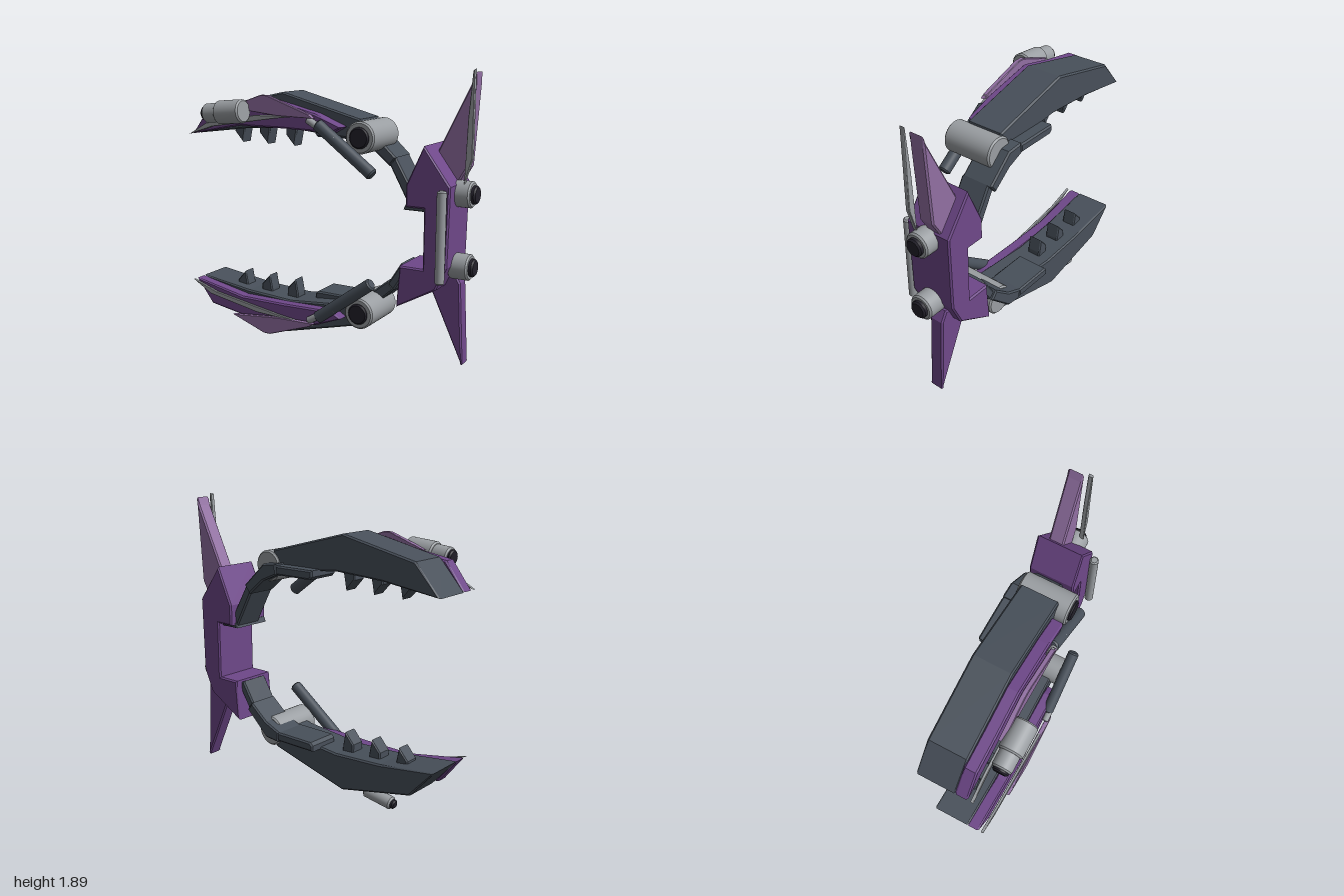
import * as THREE from 'three';

const mat = (name, color) => {
  const m = new THREE.MeshStandardMaterial({ color });
  m.name = name;
  return m;
};

export function createModel() {
  const purple = mat('purple armour', 0x6f488a);
  const lilac = mat('lilac armour', 0x9270a3);
  const slate = mat('slate frame', 0x48505a);
  const steel = mat('steel', 0x9a9ea2);
  const black = mat('black', 0x22202a);
  const model = new THREE.Group();

  // Flat plate: outline in x,y spanning z0..z1, with a small chamfer
  function plate(parent, name, material, pts, z0, z1, bevel = 0.01) {
    const shape = new THREE.Shape(pts.map(p => new THREE.Vector2(p[0], p[1])));
    const geo = new THREE.ExtrudeGeometry(shape, {
      depth: z1 - z0 - 2 * bevel, bevelEnabled: bevel > 0, bevelThickness: bevel,
      bevelSize: bevel, bevelOffset: -bevel, bevelSegments: 1,
    });
    geo.translate(0, 0, z0 + bevel);
    const mesh = new THREE.Mesh(geo, material);
    mesh.name = name;
    parent.add(mesh);
  }

  // Round bar from a to b with chamfered ends
  function rod(parent, name, material, a, b, r, r2 = r) {
    const A = new THREE.Vector3(...a), B = new THREE.Vector3(...b);
    const len = A.distanceTo(B), c = Math.min(0.01, r * 0.3, len * 0.3), h = len / 2;
    const profile = [[0, -h], [r - c, -h], [r - c, -h], [r, -h + c], [r, -h + c],
      [r2, h - c], [r2, h - c], [r2 - c, h], [r2 - c, h], [0, h]];
    const geo = new THREE.LatheGeometry(profile.map(p => new THREE.Vector2(...p)), 32);
    const mesh = new THREE.Mesh(geo, material);
    mesh.name = name;
    mesh.position.copy(A).add(B).multiplyScalar(0.5);
    mesh.quaternion.setFromUnitVectors(new THREE.Vector3(0, 1, 0), B.sub(A).normalize());
    parent.add(mesh);
  }

  // Jaws: the lower one mirrors the upper one
  for (const upper of [true, false]) {
    const jaw = new THREE.Group();
    jaw.name = upper ? 'upperJaw' : 'lowerJaw';
    model.add(jaw);
    const Y = y => (upper ? y : 1.795 - y);
    const P = pts => pts.map(([x, y]) => [x, Y(y)]);

    plate(jaw, 'jawBody', slate, P([[-1, 1.418], [-0.83, 1.61], [-0.3, 1.725], [0.28, 1.575],
      [0.31, 1.42], [0.18, 1.45], [-0.25, 1.49], [-0.6, 1.47]]), -0.21, 0.05);
    plate(jaw, 'jawArmour', purple, P([[-1, 1.42], [-0.87, 1.59], [-0.62, 1.63], [-0.37, 1.685],
      [0, 1.6], [0.19, 1.525], [0.12, 1.485], [-0.25, 1.495], [-0.6, 1.495]]), 0.045, 0.13);
    plate(jaw, 'cheekPlate', lilac, P([[-0.65, 1.62], [-0.39, 1.71], [-0.34, 1.71], [-0.02, 1.6],
      [0.01, 1.575], [-0.27, 1.58]]), 0.145, 0.177, 0.004);
    plate(jaw, 'jawBlade', steel, P([[-1, 1.42], [-0.85, 1.505], [-0.45, 1.575], [-0.2, 1.585],
      [0, 1.595], [-0.28, 1.562], [-0.8, 1.482]]), 0.148, 0.168, 0.003);

    // Teeth
    for (const x of [-0.71, -0.5, -0.285]) {
      plate(jaw, 'tooth', slate, P([[x - 0.045, 1.435], [x - 0.045, 1.5], [x + 0.045, 1.5],
        [x + 0.042, 1.46], [x + 0.022, 1.362]]), -0.13, -0.03, 0.008);
    }

    // Inner ledge and folding arm
    plate(jaw, 'innerLedge', slate, P([[-0.12, 1.45], [-0.1, 1.43], [0.19, 1.43], [0.19, 1.49],
      [-0.12, 1.49]]), -0.29, -0.06);
    plate(jaw, 'foreArm', slate, P([[0.18, 1.43], [0.19, 1.5], [0.3, 1.49], [0.475, 1.33],
      [0.43, 1.275], [0.3, 1.38]]), -0.29, -0.07);
    plate(jaw, 'upperArm', slate, upper
      ? [[0.43, 1.29], [0.475, 1.335], [0.62, 1.09], [0.62, 1.03], [0.575, 1.03]]
      : [[0.43, 0.5], [0.475, 0.46], [0.55, 0.58], [0.55, 0.64], [0.525, 0.65]], -0.27, -0.065);

    // Pivot drum
    rod(jaw, 'pivotDrum', steel, [0.318, Y(1.467), -0.225], [0.318, Y(1.467), 0.125], 0.102);
    rod(jaw, 'pivotCap', black, [0.318, Y(1.467), 0.11], [0.318, Y(1.467), 0.14], 0.068);

    // Piston
    rod(jaw, 'pistonSleeve', slate, [0.02, Y(1.54), 0.137], [0.42, Y(1.245), 0.137], 0.04);
    rod(jaw, 'pistonRod', steel, [-0.045, Y(1.567), 0.15], [0.16, Y(1.45), 0.15], 0.024);
  }

  // Large blaster on the upper jaw
  const blaster = new THREE.Group();
  blaster.name = 'blaster';
  model.add(blaster);
  rod(blaster, 'blasterBody', steel, [-0.48, 1.605, 0.235], [-0.68, 1.588, 0.235], 0.078);
  rod(blaster, 'blasterBarrel', steel, [-0.67, 1.589, 0.235], [-0.785, 1.578, 0.235], 0.064);
  rod(blaster, 'blasterMuzzle', black, [-0.775, 1.579, 0.235], [-0.805, 1.576, 0.235], 0.05);

  // Small blaster under the lower jaw
  rod(model, 'smallBlaster', steel, [-0.43, 0.074, -0.115], [-0.64, 0.043, -0.115], 0.042);
  rod(model, 'smallMuzzle', black, [-0.63, 0.045, -0.115], [-0.662, 0.04, -0.115], 0.03);

  // Spine
  plate(model, 'spine', purple, [[0.7, 1.43], [0.88, 1.19], [0.87, 0.68], [0.8, 0.53],
    [0.53, 0.38], [0.55, 0.655], [0.71, 0.655], [0.71, 1.04], [0.585, 1.04], [0.585, 1.18]],
    -0.315, 0.01);
  plate(model, 'spineBracket', slate, [[0.565, 1.02], [0.71, 1.02], [0.71, 1.055], [0.58, 1.055]],
    -0.28, 0.0, 0.006);
  rod(model, 'spineBar', steel, [0.84, 0.585, 0.04], [0.84, 1.17, 0.04], 0.03);

  // Tail fins
  plate(model, 'upperFin', lilac, [[0.715, 1.36], [0.94, 1.82], [0.962, 1.875], [0.962, 1.8],
    [0.93, 1.3], [0.86, 1.18], [0.78, 1.18]], -0.25, -0.145);
  plate(model, 'lowerFin', purple, [[0.7, 0.485], [0.925, 0.005], [0.93, 0.01], [0.9, 0.55],
    [0.86, 0.62], [0.78, 0.6]], -0.25, -0.15);
  plate(model, 'finBlade', steel, [[0.962, 1.885], [0.974, 1.895], [0.976, 1.36], [0.928, 1.2],
    [0.94, 1.6]], -0.12, -0.09, 0.004);

  // Thrusters
  for (const y of [1.13, 0.667]) {
    rod(model, 'thruster', steel, [0.84, y, -0.148], [0.972, y, -0.148], 0.084);
    rod(model, 'thrusterNozzle', black, [0.96, y, -0.148], [1.0, y, -0.148], 0.058);
  }
  return model;
}
